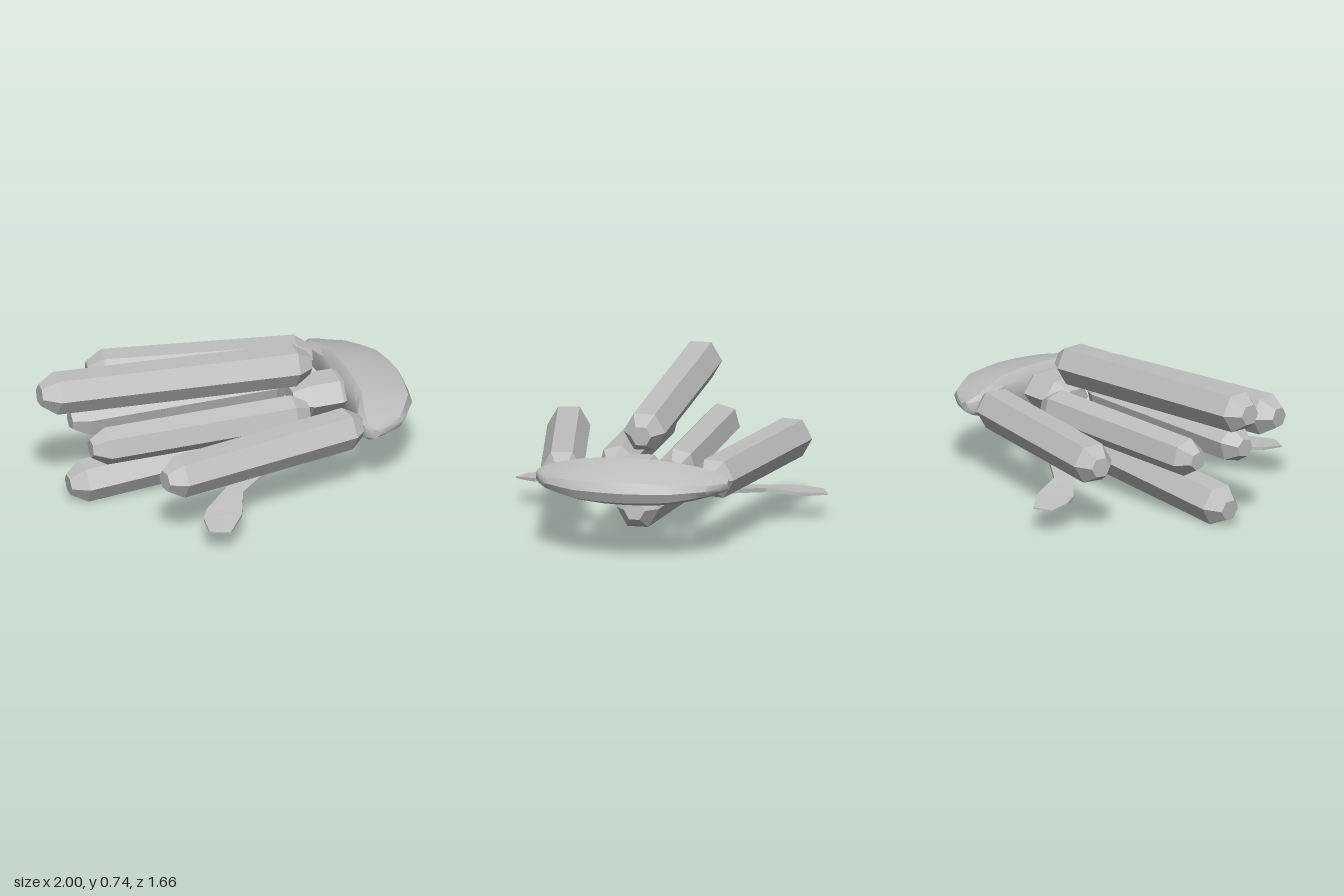
import * as THREE from 'three';
import { toCreasedNormals } from 'three/addons/utils/BufferGeometryUtils.js';

const V = (x, y, z) => new THREE.Vector3(x, y, z);

// Closed loft through rings of points, capped at both ends
function loft(rings) {
  const n = rings[0].length, last = (rings.length - 1) * n, index = [];
  for (let i = 0; i < rings.length - 1; i++) {
    for (let j = 0; j < n; j++) {
      const k = (j + 1) % n, a = i * n + j, b = i * n + k;
      index.push(a, b, b + n, a, b + n, a + n);
    }
  }
  for (let k = 1; k < n - 1; k++) {
    index.push(0, k + 1, k, last, last + k, last + k + 1);
  }
  const g = new THREE.BufferGeometry().setFromPoints(rings.flat());
  g.setIndex(index);
  return g;
}

// Six-sided bar along +x with tapered ends
function hexBar(length, r, roll = 0, taper = 0.085, tip = 0.5) {
  const profile = [[0, 0], [r * tip, 0], [r, taper], [r, length - taper], [r * tip, length], [0, length]];
  const g = new THREE.LatheGeometry(profile.map(p => new THREE.Vector2(...p)), 6);
  return g.rotateZ(-Math.PI / 2).rotateX(roll);
}

export function createModel() {
  const group = new THREE.Group();
  const grey = new THREE.MeshStandardMaterial({ color: 0xbfbfbf });
  grey.name = 'grey';
  const faceted = grey.clone();
  faceted.flatShading = true;

  const add = (name, geometry, material = faceted) => {
    const mesh = new THREE.Mesh(geometry, material);
    mesh.name = name;
    group.add(mesh);
    return mesh;
  };

  const tentacle = (name, from, to, r, roll) => {
    const dir = to.clone().sub(from);
    const mesh = add(name, hexBar(dir.length(), r, roll));
    mesh.position.copy(from);
    mesh.quaternion.setFromUnitVectors(V(1, 0, 0), dir.normalize());
  };

  // Thick tentacles
  tentacle('topTentacle', V(-1, 0.653, 0), V(0.485, 0.565, 0), 0.112);
  tentacle('bottomTentacle', V(-0.84, 0.09, 0), V(0.635, 0.205, 0), 0.112);
  for (const s of [1, -1]) {
    const side = s > 0 ? 'front' : 'back';
    tentacle(side + 'SideTentacle', V(-0.525, 0.378, s * 0.612), V(0.635, 0.378, s * 0.39), 0.112);
    tentacle(side + 'InnerTentacle', V(-0.775, 0.378, s * 0.162), V(0.42, 0.378, s * 0.162), 0.1, s * Math.PI / 12);
  }

  // Neck joining the tentacles to the head
  const neck = add('neck', hexBar(0.34, 0.14, 0, 0.09, 0.6));
  neck.scale.y = 0.75;
  neck.position.set(0.38, 0.378, 0);

  // Head: crescent loft along z; stations hold z, back x, front x, half height
  const outline = [[1, 0], [0.93, 0.45], [0.5, 0.83], [0.12, 1], [0, 0.6],
    [0, -0.6], [0.12, -1], [0.5, -0.83], [0.93, -0.45]];
  const half = [[0, 0.65, 1, 0.12], [0.12, 0.65, 0.988, 0.118], [0.25, 0.65, 0.965, 0.106],
    [0.35, 0.63, 0.905, 0.084], [0.43, 0.62, 0.85, 0.062], [0.48, 0.63, 0.77, 0.045], [0.51, 0.66, 0.7, 0.028]];
  const stations = [...half.slice(1).reverse().map(([z, ...r]) => [-z, ...r]), ...half];
  const headRings = stations.map(([z, back, front, h]) =>
    outline.map(([u, v]) => V(back + u * (front - back), 0.378 + v * h, z)));
  add('head', toCreasedNormals(loft(headRings), 0.75), grey);

  // Thin feeding arms with flat paddles: x, y, z, width, thickness
  const path = [[0.66, 0.285, 0.1, 0.06, 0.03], [0.4, 0.255, 0.225, 0.06, 0.028], [0.1, 0.21, 0.385, 0.07, 0.025],
    [-0.1, 0.178, 0.5, 0.1, 0.022], [-0.21, 0.15, 0.65, 0.19, 0.018],
    [-0.25, 0.143, 0.71, 0.18, 0.016], [-0.29, 0.132, 0.81, 0.11, 0.008]];
  for (const s of [1, -1]) {
    const points = path.map(([x, y, z]) => V(x, y, s * z));
    const rings = points.map((p, i) => {
      const before = points[Math.max(i - 1, 0)], after = points[Math.min(i + 1, points.length - 1)];
      const across = V(0, 1, 0).cross(after.clone().sub(before)).normalize();
      const [, , , w, t] = path[i];
      return [[1, 1], [-1, 1], [-1, -1], [1, -1]].map(([a, b]) =>
        p.clone().addScaledVector(across, a * w / 2).add(V(0, b * t / 2, 0)));
    });
    add(s > 0 ? 'frontThinArm' : 'backThinArm', loft(rings).toNonIndexed());
  }

  // Facet normals for the flat-shaded parts
  group.traverse(o => {
    if (o.isMesh && !o.geometry.attributes.normal) o.geometry.computeVertexNormals();
  });
  return group;
}
